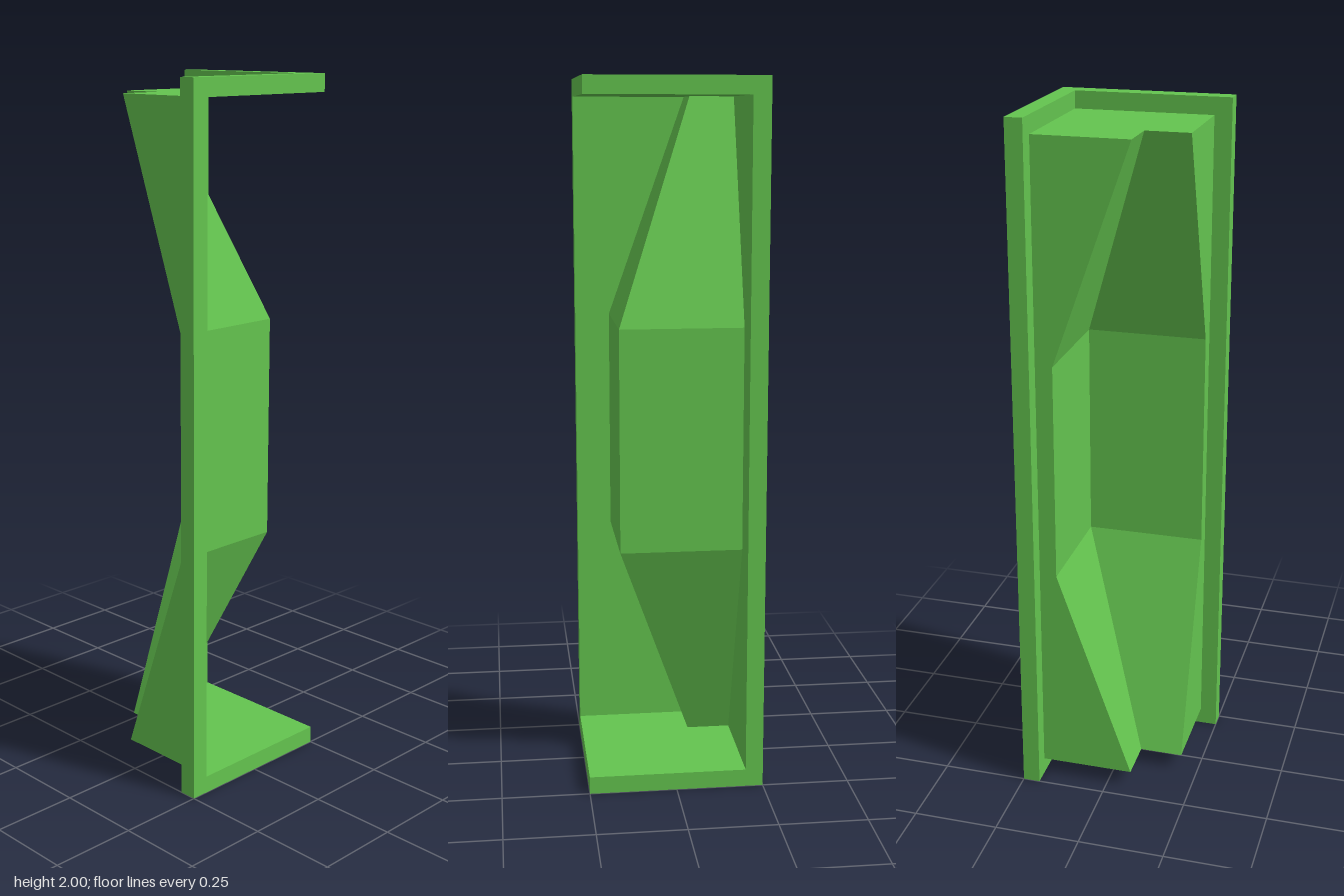
import * as THREE from 'three';

const OUT = 0.25, IN = 0.2, BAR = 0.05, HEIGHT = 2;
const LEVELS = [[0.05, -0.073], [0.68, 0.15], [1.32, 0.15], [1.95, -0.073]]; // height, notch corner

// Flat outline in the x-z plane, lying face down at y = 0
const outline = (pts) => new THREE.Shape(pts.map(([x, z]) => new THREE.Vector2(x, z)));

// Open wall path around the notched back corner, for notch corner n
const wallPath = (n) => [[IN, -IN], [n, -IN], [n, n], [-IN, n], [-IN, IN]];

function notchedWalls() {
  const pos = [];
  for (let l = 0; l < LEVELS.length - 1; l++) {
    const [y0, n0] = LEVELS[l], [y1, n1] = LEVELS[l + 1];
    const low = wallPath(n0), high = wallPath(n1);
    for (let i = 0; i < low.length - 1; i++) {
      const a = [low[i][0], y0, low[i][1]], b = [low[i + 1][0], y0, low[i + 1][1]];
      const c = [high[i + 1][0], y1, high[i + 1][1]], d = [high[i][0], y1, high[i][1]];
      pos.push(...a, ...b, ...c, ...a, ...c, ...d);
    }
  }
  const geo = new THREE.BufferGeometry();
  geo.setAttribute('position', new THREE.Float32BufferAttribute(pos, 3));
  geo.computeVertexNormals();
  return geo;
}

export function createModel() {
  const model = new THREE.Group();
  model.name = 'cornerWindowPanel';
  const frameMat = new THREE.MeshStandardMaterial({ color: 0x64c44f });
  const shellMat = new THREE.MeshStandardMaterial({ color: 0x64c44f, side: THREE.DoubleSide, flatShading: true });

  const add = (name, geo, mat, x = 0, y = 0, z = 0) => {
    const mesh = new THREE.Mesh(geo, mat);
    mesh.name = name;
    mesh.position.set(x, y, z);
    model.add(mesh);
  };

  // L-shaped rails at top and bottom of the corner opening
  const railShape = outline([[-OUT, IN], [IN, IN], [IN, -OUT], [OUT, -OUT], [OUT, OUT], [-OUT, OUT]]);
  const rail = new THREE.ExtrudeGeometry(railShape, { depth: BAR, bevelEnabled: false }).rotateX(Math.PI / 2);
  add('topRail', rail, frameMat, 0, HEIGHT, 0);
  add('bottomRail', rail, frameMat, 0, BAR, 0);

  // Posts at the two far ends of the rails
  const post = new THREE.BoxGeometry(BAR, HEIGHT - 2 * BAR, BAR);
  const mid = (OUT + IN) / 2;
  add('frontPost', post, frameMat, -mid, HEIGHT / 2, mid);
  add('sidePost', post, frameMat, mid, HEIGHT / 2, -mid);

  // Thin shell behind the opening: notched walls, ceiling and floor
  add('notchedWalls', notchedWalls(), shellMat);
  const cap = new THREE.ShapeGeometry(outline([...wallPath(LEVELS[0][1]), [IN, IN]])).rotateX(Math.PI / 2);
  add('ceiling', cap, shellMat, 0, HEIGHT - BAR, 0);
  add('floor', cap, shellMat, 0, BAR, 0);

  return model;
}
